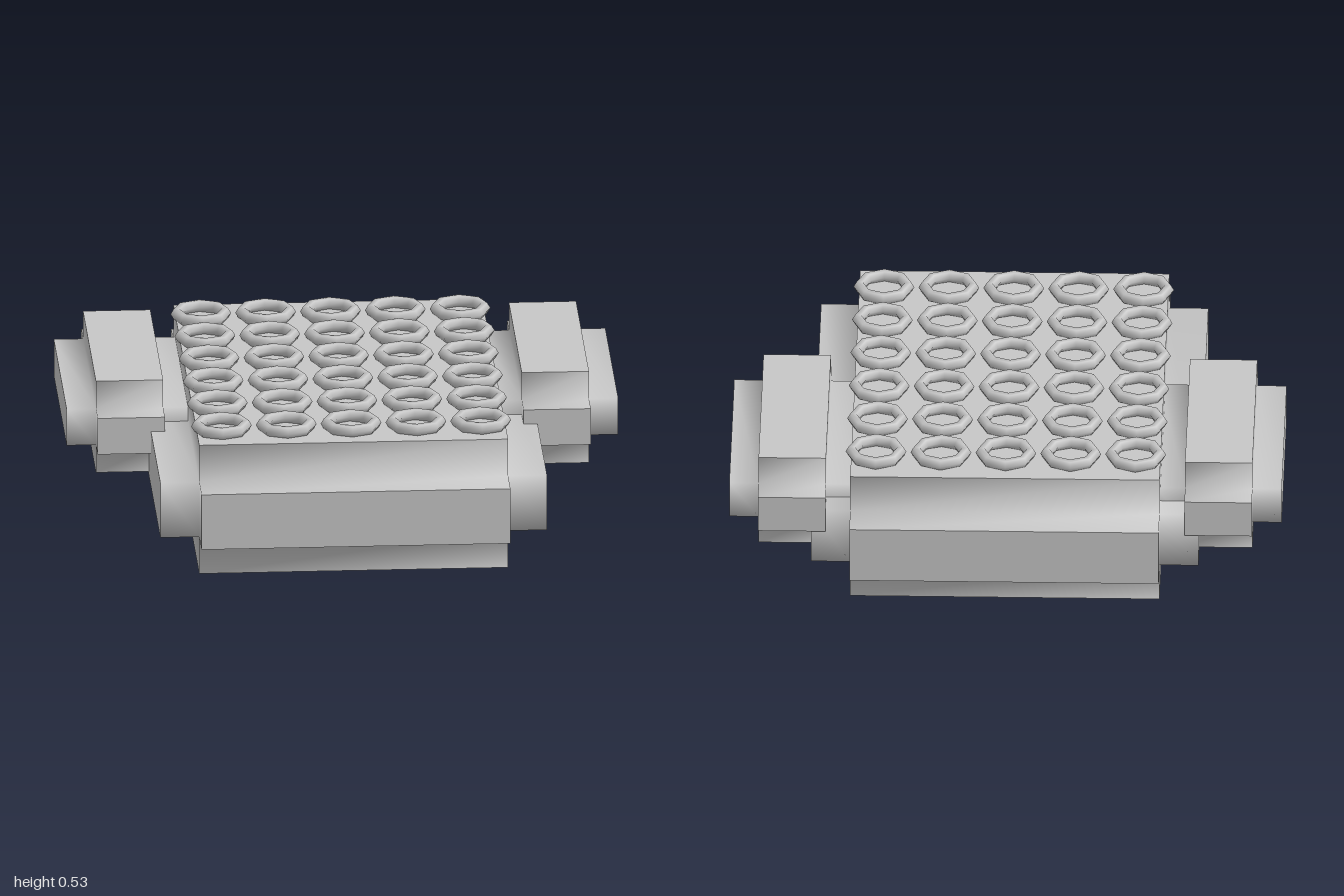
import * as THREE from 'three';

const grey = new THREE.MeshStandardMaterial({ color: 0xc6c6c6 });
grey.name = 'light grey';

// A core box with a raised block on each of its six faces, leaving notched edges.
// The block ends are flat; the block walls share vertices so they shade smoothly.
function steppedBlock(name, halfSize, step) {
  const capPoints = [], capIndex = [];
  const wallPoints = [], wallIndex = [];

  // eight core corners, numbered by the bits x, y, z
  for (let i = 0; i < 8; i++) {
    for (let k = 0; k < 3; k++) wallPoints.push(i & (1 << k) ? halfSize[k] : -halfSize[k]);
  }
  const quad = (list, a, b, c, d) => list.push(a, b, c, a, c, d);

  for (let axis = 0; axis < 3; axis++) {
    for (const side of [-1, 1]) {
      const u = (axis + 1) % 3, v = (axis + 2) % 3;
      const signs = [[-1, -1], [1, -1], [1, 1], [-1, 1]];
      if (side < 0) signs.reverse();
      const cap = capPoints.length / 3, rim = wallPoints.length / 3;
      const core = signs.map(([su, sv]) => {
        const p = [0, 0, 0];
        p[axis] = side * (halfSize[axis] + step);
        p[u] = su * halfSize[u];
        p[v] = sv * halfSize[v];
        capPoints.push(...p);
        wallPoints.push(...p);
        return (side > 0 ? 1 << axis : 0) + (su > 0 ? 1 << u : 0) + (sv > 0 ? 1 << v : 0);
      });
      quad(capIndex, cap, cap + 1, cap + 2, cap + 3);
      for (let i = 0; i < 4; i++) {
        const j = (i + 1) % 4;
        quad(wallIndex, rim + j, rim + i, core[i], core[j]);
      }
    }
  }

  const group = new THREE.Group();
  group.name = name;
  for (const [part, points, index] of [
    ['Faces', capPoints, capIndex],
    ['NotchedEdges', wallPoints, wallIndex],
  ]) {
    const geometry = new THREE.BufferGeometry();
    geometry.setAttribute('position', new THREE.Float32BufferAttribute(points, 3));
    geometry.setIndex(index);
    geometry.computeVertexNormals();
    const mesh = new THREE.Mesh(geometry, grey);
    mesh.name = name + part;
    group.add(mesh);
  }
  return group;
}

export function createModel() {
  const model = new THREE.Group();
  model.name = 'steppedPlatform';

  // main body
  const body = steppedBlock('body', [0.56, 0.105, 0.77], 0.141);
  body.position.y = 0.246;
  model.add(body);

  // side pods, set towards the back
  for (const side of [-1, 1]) {
    const pod = steppedBlock(side > 0 ? 'leftPod' : 'rightPod', [0.122, 0.069, 0.385], 0.106);
    pod.position.set(side * 0.772, 0.336, -0.284);
    model.add(pod);
  }

  // grid of octagonal rings on the top face
  const rings = new THREE.Group();
  rings.name = 'topRings';
  const ringGeometry = new THREE.TorusGeometry(0.088, 0.022, 6, 8).rotateX(-Math.PI / 2);
  for (let row = 0; row < 6; row++) {
    for (let column = 0; column < 5; column++) {
      const ring = new THREE.Mesh(ringGeometry, grey);
      ring.name = 'ring';
      ring.position.set((column - 2) * 0.235, 0.511, (row - 2.5) * 0.246);
      rings.add(ring);
    }
  }
  model.add(rings);

  return model;
}
